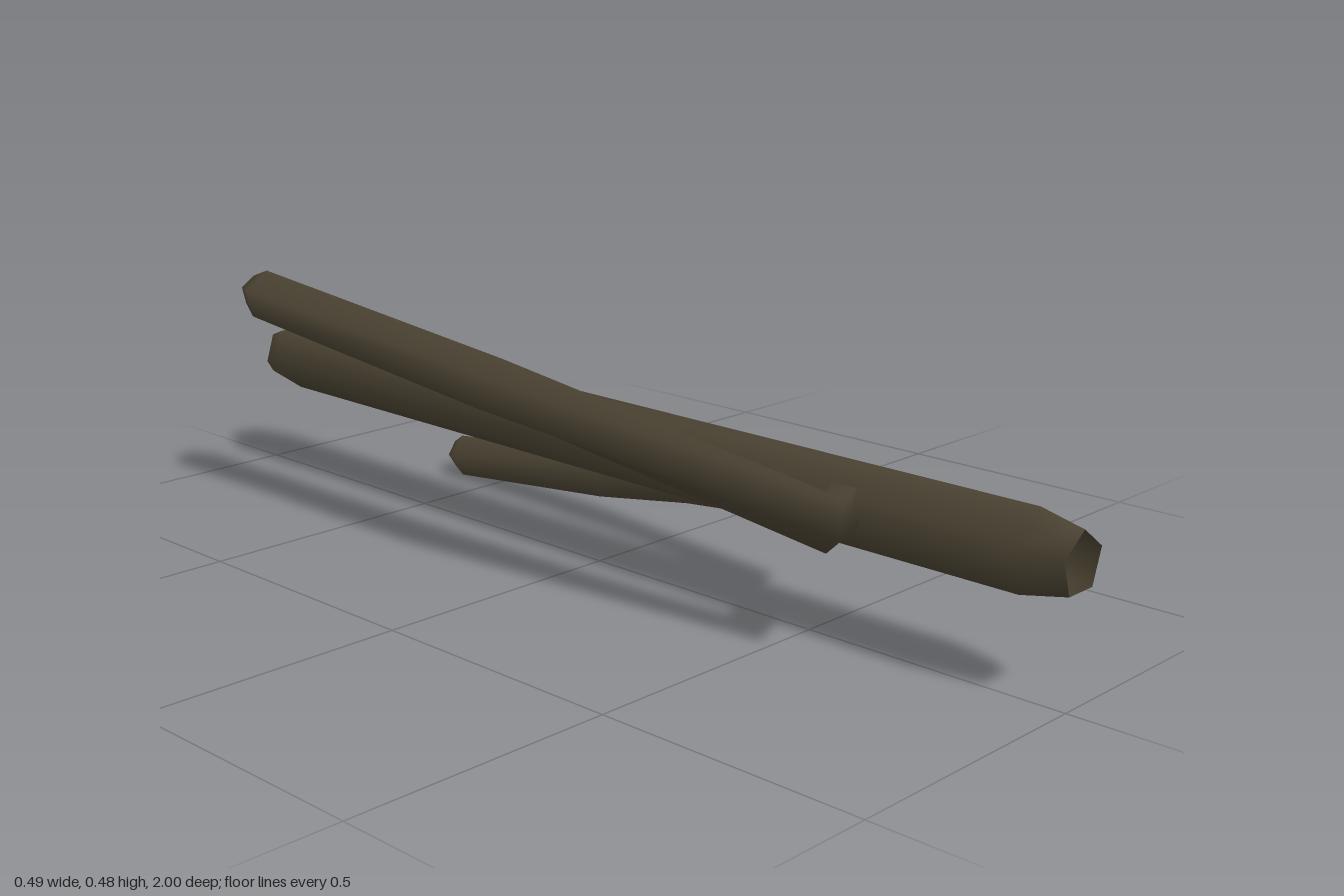
import * as THREE from 'three';

const SIDES = 5;
const bark = new THREE.MeshStandardMaterial({ color: 0x4a4232, side: THREE.DoubleSide });
bark.name = 'dark bark';

// Smooth five-sided limb through rings [x, y, z, radius], rolling between two angles in degrees
function limb(name, rings, rollStart, rollEnd) {
  const centres = rings.map(([x, y, z]) => new THREE.Vector3(x, y, z));
  const last = rings.length - 1;
  const z0 = rings[0][2], z1 = rings[last][2];
  const positions = [], index = [];
  rings.forEach(([, , z, radius], i) => {
    const before = centres[Math.max(i - 1, 0)], after = centres[Math.min(i + 1, last)];
    const inward = centres[i].clone().sub(before).normalize();
    const outward = after.clone().sub(centres[i]).normalize();
    const tangent = inward.add(outward).normalize();
    const up = new THREE.Vector3(0, 1, 0).addScaledVector(tangent, -tangent.y).normalize();
    const side = tangent.clone().cross(up);
    const roll = THREE.MathUtils.degToRad(THREE.MathUtils.lerp(rollStart, rollEnd, (z - z0) / (z1 - z0)));
    for (let j = 0; j < SIDES; j++) {
      const angle = roll + (j / SIDES) * Math.PI * 2;
      const p = centres[i].clone()
        .addScaledVector(up, Math.cos(angle) * radius)
        .addScaledVector(side, Math.sin(angle) * radius);
      positions.push(p.x, p.y, p.z);
      if (i < last) {
        const a = i * SIDES + j, b = i * SIDES + (j + 1) % SIDES;
        index.push(a, b, a + SIDES, b, b + SIDES, a + SIDES);
      }
    }
  });
  const geometry = new THREE.BufferGeometry();
  geometry.setAttribute('position', new THREE.Float32BufferAttribute(positions, 3));
  geometry.setIndex(index);
  geometry.computeVertexNormals();
  const mesh = new THREE.Mesh(geometry, bark);
  mesh.name = name;
  return mesh;
}

export function createModel() {
  const group = new THREE.Group();
  group.name = 'forkedStick';

  // Main stem: hollow broken end in front, blunt tip behind
  group.add(limb('mainStem', [
    [0.02, 0.24, 1, 0.055],
    [0.02, 0.24, 0.92, 0.073],
    [0.02, 0.24, -0.93, 0.073],
    [0.02, 0.24, -0.98, 0.05],
    [0.02, 0.24, -1, 0],
  ], 0, 36));

  // Upper branch on the right
  group.add(limb('upperBranch', [
    [0.02, 0.245, 0.56, 0.045],
    [-0.1, 0.245, 0.615, 0.052],
    [-0.18, 0.355, -0.09, 0.053],
    [-0.2, 0.431, -0.735, 0.05],
    [-0.2, 0.435, -0.775, 0.03],
    [-0.2, 0.436, -0.785, 0],
  ], 36, 0));

  // Lower branch on the left
  group.add(limb('lowerBranch', [
    [0.03, 0.23, 0.38, 0.038],
    [0.12, 0.186, 0.39, 0.044],
    [0.178, 0.096, -0.15, 0.043],
    [0.207, 0.044, -0.6, 0.044],
    [0.208, 0.041, -0.63, 0.028],
    [0.208, 0.04, -0.638, 0],
  ], 22, -14));

  return group;
}
